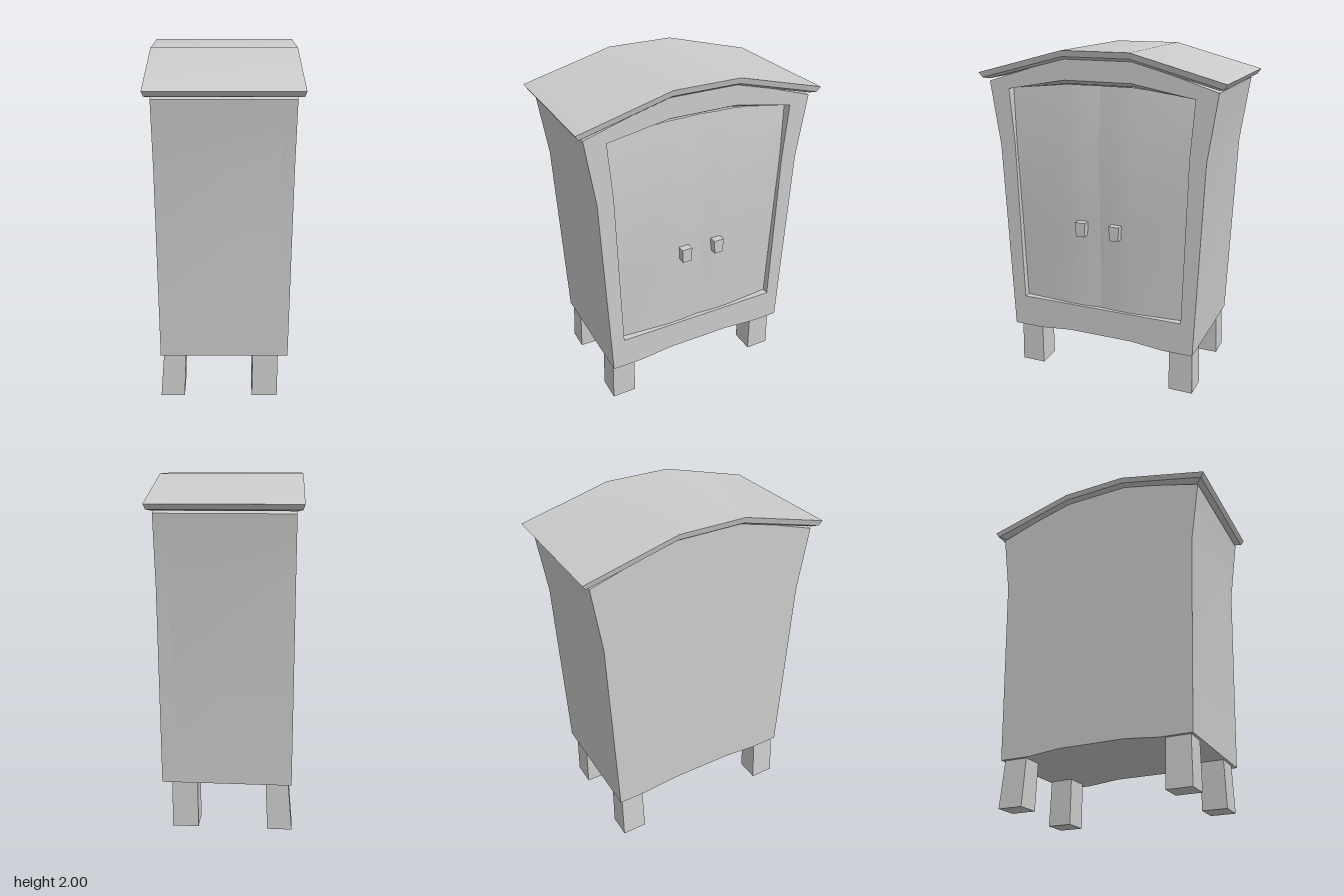
import * as THREE from 'three';
import { toCreasedNormals } from 'three/addons/utils/BufferGeometryUtils.js';

const material = new THREE.MeshStandardMaterial({ color: 0xcccccc });
const thin = new THREE.MeshStandardMaterial({ color: 0xcccccc, side: THREE.DoubleSide });

// Outlines across the cabinet: half profiles [z, y], mirrored into closed loops
const bodyHalf = [[0.2, 0.3], [0.4, 0.28], [0.585, 0.28], [0.63, 1.43], [0.685, 1.81], [0.2, 1.96]];
const openingHalf = [[0.51, 0.475], [0.535, 1.45], [0.56, 1.77], [0.2, 1.835]];
const mirrorLoop = (half) =>
  [...half, ...half.slice().reverse().map(([z, y]) => [-z, y])].map(([z, y]) => new THREE.Vector2(z, y));

function addMesh(parent, name, geometry, mat = material, crease = 0.45) {
  const mesh = new THREE.Mesh(toCreasedNormals(geometry, crease), mat);
  mesh.name = name;
  parent.add(mesh);
  return mesh;
}

// Extrude an outline along x between two depths
function slab(half, x0, x1, holeHalf) {
  const shape = new THREE.Shape(mirrorLoop(half));
  if (holeHalf) shape.holes.push(new THREE.Path(mirrorLoop(holeHalf)));
  return new THREE.ExtrudeGeometry(shape, { depth: x1 - x0, bevelEnabled: false })
    .rotateY(Math.PI / 2).translate(x0, 0, 0);
}

// Move every vertex of a geometry by a rule
function reshape(geometry, rule) {
  const p = geometry.attributes.position;
  const uv = geometry.attributes.uv;
  for (let i = 0; i < p.count; i++) {
    p.setXYZ(i, ...rule(p.getX(i), p.getY(i), p.getZ(i), uv.getX(i), uv.getY(i)));
  }
  return geometry;
}

// Box with separate bottom and top rectangles [x0, x1, z0, z1]
function taperedBox(y0, y1, bottom, top) {
  return reshape(new THREE.BoxGeometry(1, 1, 1), (x, y, z) => {
    const r = y > 0 ? top : bottom;
    return [x > 0 ? r[1] : r[0], y > 0 ? y1 : y0, z > 0 ? r[3] : r[2]];
  });
}

// Arched roof slab with a moulded, undercut rim
function roofGeometry() {
  const levels = [[0.372, 0.685, -0.05], [0.398, 0.716, -0.034], [0.407, 0.735, 0]];
  return reshape(new THREE.BoxGeometry(2, 2, 2, 1, 2, 3), (x, y, z) => {
    const [hx, hz, dy] = levels[Math.round(y + 1)];
    const outer = Math.abs(z) > 0.5;
    const nz = Math.sign(z) * (outer ? hz : 0.2);
    return [x * hx, 2 - Math.max(0, Math.abs(nz) - 0.2) * 0.262 + dy, nz];
  });
}

// Gently bulging door panel, from the central seam to the outer jamb
function doorGeometry(side) {
  const edge = [0.51, 0.523, 0.535, 0.56];
  const rows = [0.475, 0.95, 1.45, 1.81];
  const depth = [0.342, 0.35, 0.362, 0.33];
  const columns = [0, 0.1, 0.2];
  const bulge = [0, 0.008, 0.01, -0.014];
  return reshape(new THREE.PlaneGeometry(1, 1, 3, 3), (x, y, z, u, v) => {
    const c = Math.round(3 * (side > 0 ? 1 - u : u));
    const r = Math.round(3 * v);
    const py = c === 3 && r === 3 ? 1.77 : rows[r];
    return [depth[r] + bulge[c], py, side * (c === 3 ? edge[r] : columns[c])];
  });
}

// Sloping underside above the doors
function lintelGeometry() {
  const zs = [0.56, 0.2, -0.2, -0.56];
  return reshape(new THREE.PlaneGeometry(1, 1, 3, 1), (x, y, z, u, v) => {
    const pz = zs[Math.round(u * 3)];
    const front = v > 0.5;
    return [front ? 0.37 : 0.32, Math.abs(pz) > 0.5 ? 1.77 : front ? 1.835 : 1.81, pz];
  });
}

export function createModel() {
  const cabinet = new THREE.Group();
  cabinet.name = 'cabinet';

  addMesh(cabinet, 'body', slab(bodyHalf, -0.37, 0.3));
  addMesh(cabinet, 'doorFrame', slab(bodyHalf, 0.3, 0.37, openingHalf));
  addMesh(cabinet, 'roof', roofGeometry());
  addMesh(cabinet, 'lintel', lintelGeometry(), thin);

  for (const side of [1, -1]) {
    const label = side > 0 ? 'left' : 'right';
    const zRange = (a, b) => (side > 0 ? [a, b] : [-b, -a]);
    addMesh(cabinet, label + 'Door', doorGeometry(side), thin);

    // Handles narrow slightly towards the bottom
    addMesh(cabinet, label + 'Handle', taperedBox(0.935, 1.02,
      [0.34, 0.403, ...zRange(0.08, 0.133)], [0.34, 0.403, ...zRange(0.074, 0.138)]), material, 0.2);

    // Straight legs below the doors, splayed legs at the back wall
    addMesh(cabinet, label + 'DoorSideLeg', taperedBox(0, 0.3,
      [0.165, 0.315, ...zRange(0.427, 0.575)], [0.168, 0.315, ...zRange(0.427, 0.568)]), material, 0.2);
    addMesh(cabinet, label + 'BackLeg', taperedBox(0, 0.3,
      [-0.375, -0.235, ...zRange(0.427, 0.575)], [-0.35, -0.222, ...zRange(0.427, 0.568)]), material, 0.2);
  }
  return cabinet;
}
